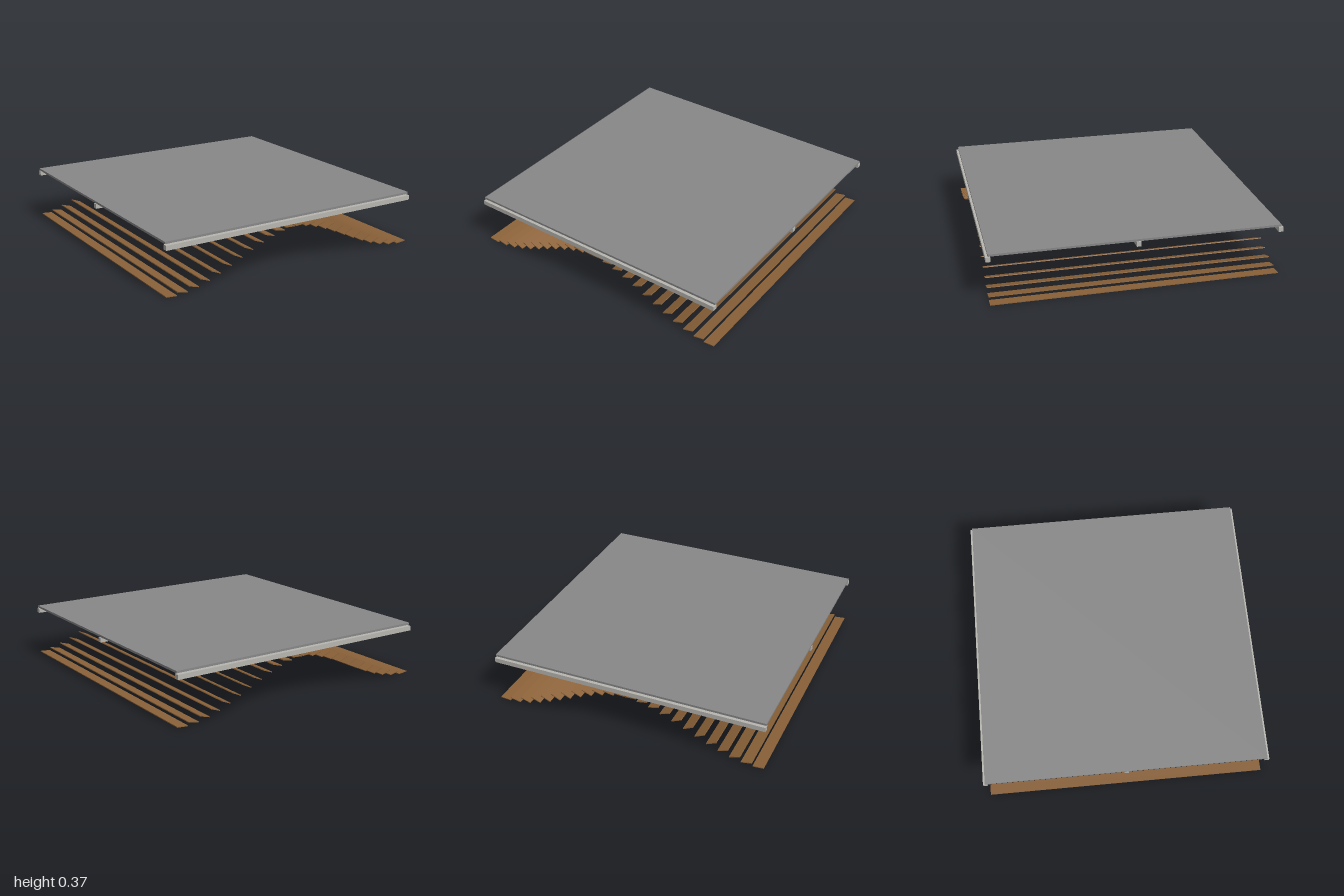
import * as THREE from 'three';

export function createModel() {
  const model = new THREE.Group();
  model.name = 'slattedCeiling';

  const material = (name, color) => {
    const m = new THREE.MeshStandardMaterial({ color });
    m.name = name;
    return m;
  };
  const panelGrey = material('panelGrey', 0x888888);
  const beamGrey = material('beamGrey', 0xb8b6b0);
  const wood = material('wood', 0x8b6239);

  const addBox = (name, mat, size, position, parent = model) => {
    const mesh = new THREE.Mesh(new THREE.BoxGeometry(...size), mat);
    mesh.name = name;
    mesh.position.set(...position);
    parent.add(mesh);
    return mesh;
  };

  // Flat ceiling panel
  addBox('ceilingPanel', panelGrey, [1.97, 0.015, 1.97], [0, 0.368, 0]);

  // Three cross beams hung just below the panel
  for (const z of [-0.984, 0, 0.984]) {
    addBox('crossBeam', beamGrey, [1.97, 0.033, 0.032], [0, 0.338, z]);
  }

  // Long slats following a cosine wave, each tilted against its slope
  const slats = new THREE.Group();
  slats.name = 'slats';
  model.add(slats);
  const count = 24, pitch = 0.0822, amplitude = 0.1487;
  for (let i = 0; i < count; i++) {
    const x = (i - (count - 1) / 2) * pitch;
    const y = 0.1545 + amplitude * Math.cos(Math.PI * x);
    const slope = -amplitude * Math.PI * Math.sin(Math.PI * x);
    const slat = addBox('slat', wood, [0.077, 0.006, 1.97], [x, y, 0], slats);
    slat.rotation.z = -Math.atan(slope);
  }

  return model;
}
